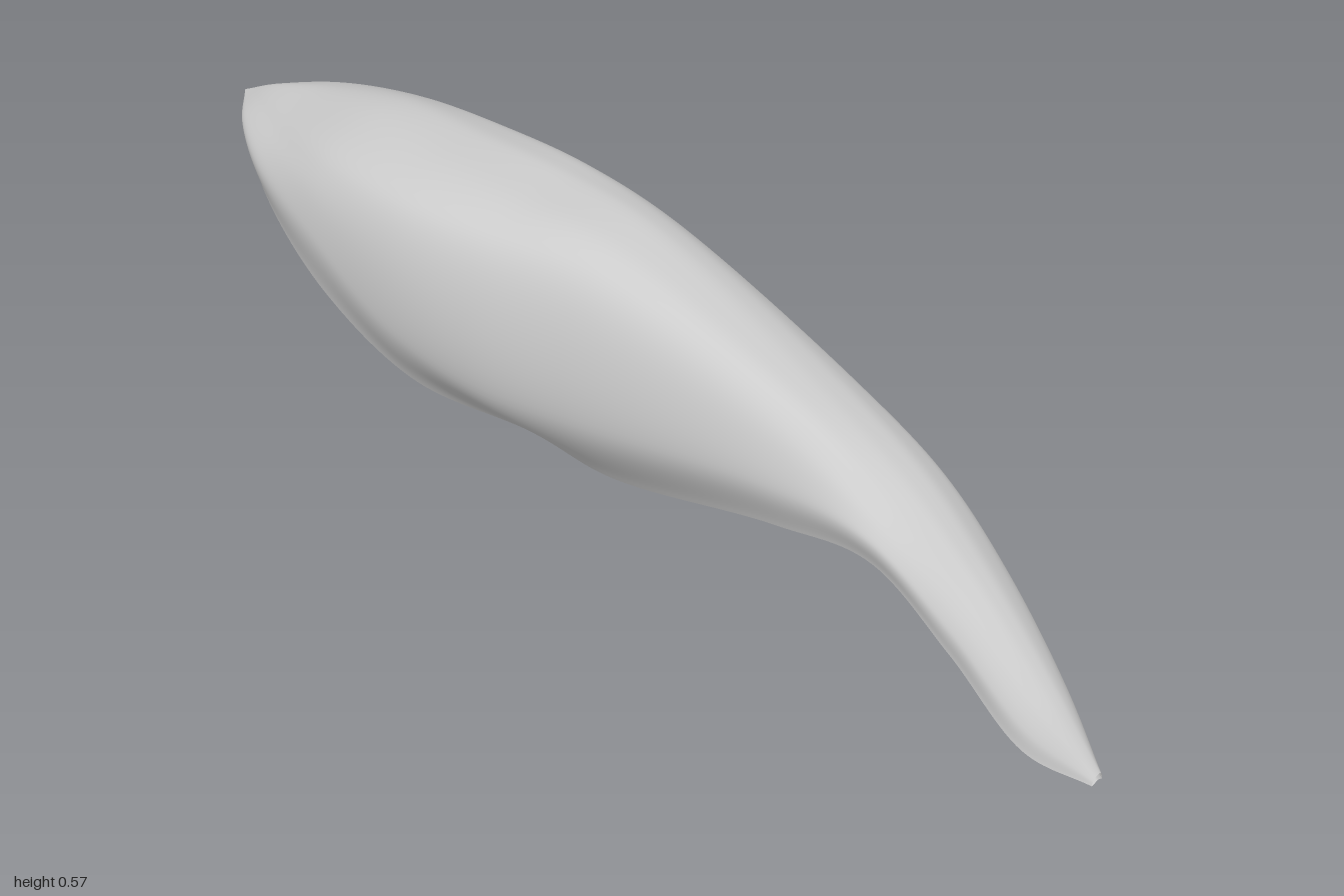
import * as THREE from 'three';

// Outer skin, from the drooping stalk to the tip:
// z, then x,y pairs from the right rim, over the crest, down to the lower left rim
const outer = [
  [1.0, .013, .006, .012, .014, .007, .022, -.004, .022, -.011, .016, -.014, .008],
  [.9, .054, .05, .045, .11, .01, .135, -.03, .122, -.054, .085, -.058, .045],
  [.75, .095, .165, .08, .235, .02, .27, -.035, .255, -.067, .21, -.064, .16],
  [.6, .114, .28, .1, .34, .03, .375, -.048, .362, -.09, .32, -.078, .268],
  [.4, .13, .33, .117, .415, .04, .455, -.055, .445, -.102, .33, -.07, .23],
  [0, .145, .385, .137, .525, .06, .568, -.083, .537, -.135, .27, -.03, .092],
  [-.2, .152, .405, .143, .545, .06, .573, -.115, .525, -.155, .25, -.015, .077],
  [-.4, .159, .413, .157, .525, .06, .56, -.122, .512, -.163, .29, -.09, .125],
  [-.6, .163, .42, .163, .495, .08, .537, -.09, .49, -.138, .37, -.11, .228],
  [-.8, .151, .418, .15, .452, .09, .478, -.018, .445, -.073, .39, -.06, .32],
  [-.92, .11, .4, .11, .418, .085, .434, .04, .42, .0, .395, .015, .36],
];

// Underside at the same stations: x,y of the lower wall, the ridge and the groove
const inner = [
  [-.006, .009, 0, .011, .007, .009],
  [-.036, .095, 0, .11, .034, .09],
  [-.042, .215, .015, .24, .06, .21],
  [-.04, .295, .025, .31, .08, .3],
  [0, .252, .06, .275, .11, .3],
  [.025, .2, .075, .3, .125, .35],
  [.04, .22, .108, .365, .09, .42],
  [.005, .25, .085, .372, .05, .435],
  [-.05, .29, .012, .36, .015, .44],
  [-.052, .327, -.035, .338, .03, .415],
  [.025, .366, .04, .37, .07, .398],
];

// Run a lengthwise curve through each section point, all meeting at the tip,
// then loft a smooth skin across them
function loft(sections, rows, cols) {
  const rails = sections[0].map((p, k) => new THREE.CatmullRomCurve3([
    ...sections.map((s) => s[k]),
    new THREE.Vector3(.08 + p.x * .1, .39 + p.y * .1, -1),
  ]));
  const positions = [];
  const index = [];
  for (let i = 0; i <= rows; i++) {
    const u = i / rows;
    const rib = new THREE.CatmullRomCurve3(rails.map((r) => r.getPoint(u)));
    for (let j = 0; j <= cols; j++) {
      const v = j / cols;
      const p = rib.getPoint(v);
      // Faint lengthwise striations that die out at the rims
      const fade = Math.sin(Math.PI * u) * Math.sin(Math.PI * v);
      const ripple = .001 * fade * Math.sin(46 * v + 5 * u) * Math.sin(9 * u + 7 * v);
      positions.push(p.x, p.y + ripple, p.z);
      if (i < rows && j < cols) {
        const a = i * (cols + 1) + j;
        const c = a + cols + 1;
        index.push(a, c, a + 1, a + 1, c, c + 1);
      }
    }
  }
  const geometry = new THREE.BufferGeometry();
  geometry.setAttribute('position', new THREE.Float32BufferAttribute(positions, 3));
  geometry.setIndex(index);
  geometry.computeVertexNormals();
  return geometry;
}

const toPoints = (xy, z) => Array.from(
  { length: xy.length / 2 },
  (_, k) => new THREE.Vector3(xy[2 * k], xy[2 * k + 1], z),
);

export function createModel() {
  const group = new THREE.Group();
  group.name = 'petal';
  const material = new THREE.MeshStandardMaterial({ color: 0xcccccc, side: THREE.DoubleSide });

  const upper = outer.map(([z, ...xy]) => toPoints(xy, z));
  // The underside runs from the left rim back to the right rim
  const lower = upper.map((pts, i) => [pts[5], ...toPoints(inner[i], pts[0].z), pts[0]]);

  const skins = { outerSkin: loft(upper, 140, 72), underside: loft(lower, 140, 48) };
  for (const [name, geometry] of Object.entries(skins)) {
    const mesh = new THREE.Mesh(geometry, material);
    mesh.name = name;
    group.add(mesh);
  }
  return group;
}
